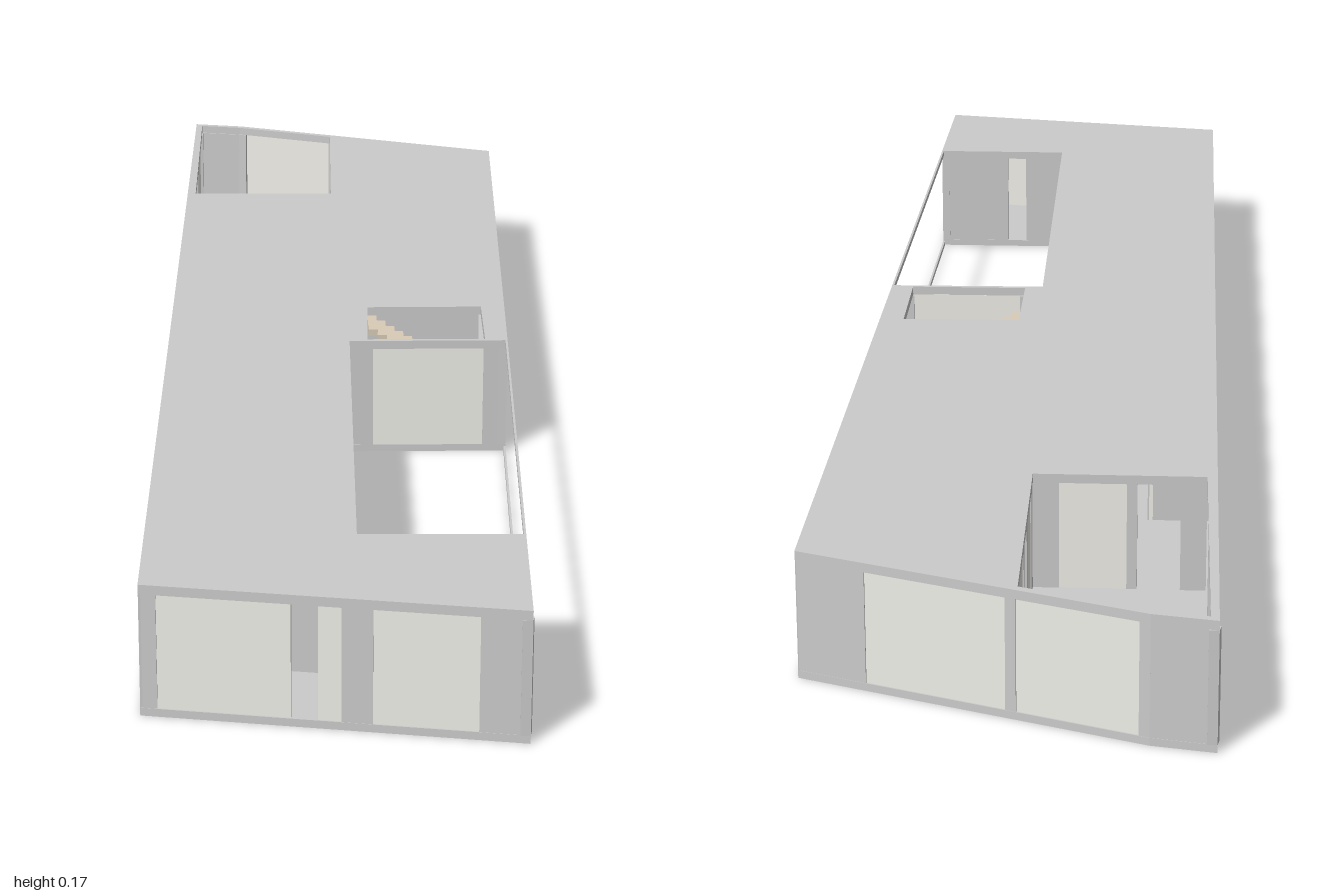
import * as THREE from 'three';

const H = 0.167, FLOOR = 0.01, CEIL = 0.155;
const grey = new THREE.MeshStandardMaterial({ color: 0xcccccc });
const pale = new THREE.MeshStandardMaterial({ color: 0xf0efe8 });
const tan = new THREE.MeshStandardMaterial({ color: 0xd9ccb8 });

// Plan points are [x, z]; the outline runs clockwise as seen from above
const outline = [[-0.4, -1], [-0.32, -0.998], [0.128, -0.91], [0.268, 0.07], [0.048, 0.11],
  [0.167, 0.808], [0.368, 0.775], [0.4, 1], [-0.06, 1]];
const patio = [[-0.388, -0.99], [-0.32, -0.988], [-0.155, -0.955], [-0.097, -0.612], [-0.315, -0.577]];
const stairwell = [[0.05, -0.043], [0.213, -0.073], [0.236, 0.07], [0.072, 0.098]];

function slab(name, points, holes, top, thickness) {
  const shape = new THREE.Shape(points.map(p => new THREE.Vector2(...p)));
  shape.holes = holes.map(h => new THREE.Path(h.map(p => new THREE.Vector2(...p))));
  const geo = new THREE.ExtrudeGeometry(shape, { depth: thickness, bevelEnabled: false });
  geo.rotateX(Math.PI / 2);
  const mesh = new THREE.Mesh(geo, grey);
  mesh.position.y = top;
  mesh.name = name;
  return mesh;
}

// Box given by its lower and upper corners
function box(name, a, b, material = grey) {
  const mesh = new THREE.Mesh(new THREE.BoxGeometry(b[0] - a[0], b[1] - a[1], b[2] - a[2]), material);
  mesh.position.set((a[0] + b[0]) / 2, (a[1] + b[1]) / 2, (a[2] + b[2]) / 2);
  mesh.name = name;
  return mesh;
}

// Group whose x runs along the edge p to q and whose z points into the building
function edgeFrame(name, p, q) {
  const g = new THREE.Group();
  g.name = name;
  g.position.set(p[0], 0, p[1]);
  g.rotation.y = -Math.atan2(q[1] - p[1], q[0] - p[0]);
  return g;
}

// Wall from bays [kind, end fraction]: s = solid, p = panel, g = open gap
function wall(name, p, q, bays) {
  const g = edgeFrame(name, p, q);
  const length = Math.hypot(q[0] - p[0], q[1] - p[1]);
  let from = 0;
  for (const [kind, to] of bays) {
    const x0 = from * length, x1 = to * length;
    if (kind === 's') g.add(box('wallPier', [x0, FLOOR, 0.0005], [x1, CEIL, 0.012]));
    if (kind === 'p') g.add(box('windowPanel', [x0, FLOOR, 0.002], [x1, CEIL, 0.007], pale));
    from = to;
  }
  return g;
}

// Two straight flights joined by a half landing
function stairs() {
  const g = edgeFrame('stairs', stairwell[0], stairwell[1]);
  const n = 9, run = 0.118 / n, rise = (CEIL - FLOOR) / (2 * n);
  for (let i = 0; i < n; i++) {
    const y1 = FLOOR + (i + 1) * rise, y2 = FLOOR + (2 * n - i) * rise;
    const x = i * run;
    g.add(box('lowerStep', [x, y1 - 0.009, 0.075], [x + run, y1, 0.139], tan));
    g.add(box('upperStep', [x, y2 - 0.009, 0.002], [x + run, y2, 0.066], tan));
  }
  const mid = FLOOR + n * rise;
  g.add(box('landing', [0.118, mid - 0.009, 0.002], [0.163, mid, 0.139], tan));
  g.add(box('stairSpine', [0.004, FLOOR, 0.068], [0.118, CEIL - 0.02, 0.073]));
  g.add(box('stairBackWall', [0, FLOOR, -0.012], [0.163, CEIL, -0.001]));
  return g;
}

export function createModel() {
  const model = new THREE.Group();
  model.name = 'buildingStorey';
  model.add(slab('floorSlab', outline, [], FLOOR, FLOOR));
  model.add(slab('roofSlab', outline, [patio, stairwell], H, H - CEIL));

  // Outer walls, one bay list per outline edge
  const bays = [
    ['backCornerWall', [['s', 1]]],
    ['backWall', [['s', 0.03], ['p', 0.37], ['s', 0.4], ['p', 0.8], ['s', 1]]],
    ['rightWall', [['s', 0.1], ['p', 0.28], ['s', 0.305], ['p', 0.51], ['g', 0.525], ['p', 0.675],
      ['g', 0.69], ['p', 0.84], ['g', 0.855], ['s', 1]].map((b, i) => b)],
    ['courtBackWall', [['s', 0.15], ['p', 0.85], ['s', 1]]],
    ['courtSideWall', [['p', 0.255], ['s', 0.53], ['p', 0.75], ['s', 1]]],
    ['courtFrontWall', [['s', 0.3], ['g', 0.45], ['s', 1]]],
    ['frontRightWall', [['s', 0.1], ['p', 0.9], ['s', 1]]],
    ['frontWall', [['s', 0.13], ['p', 0.4], ['s', 0.48], ['p', 0.54], ['g', 0.61], ['p', 0.955], ['s', 1]]],
    ['leftWall', [['s', 0.03], ['p', 0.14], ['s', 0.15], ['p', 0.25], ['s', 0.33], ['p', 0.43], ['s', 0.49],
      ['g', 0.5], ['p', 0.59], ['g', 0.6], ['g', 0.675], ['p', 0.755], ['g', 0.765], ['p', 0.865],
      ['s', 0.875], ['p', 0.985], ['s', 1]]],
  ];
  bays.forEach(([name, list], i) =>
    model.add(wall(name, outline[i], outline[(i + 1) % outline.length], list)));

  // Walls round the open patio
  model.add(wall('patioFrontWall', patio[4], patio[3],
    [['s', 0.15], ['g', 0.4], ['s', 0.46], ['p', 0.85], ['s', 1]]));
  model.add(wall('patioSideWall', patio[3], patio[2],
    [['s', 0.08], ['p', 0.35], ['s', 0.4], ['g', 0.55], ['s', 0.6], ['p', 0.92], ['s', 1]]));

  // Partitions behind the entrances in the left and front walls
  model.add(wall('entrancePartition', [-0.285, -0.35], [-0.2, -0.365], [['s', 1]]));
  model.add(wall('entrancePartition', [-0.25, -0.17], [-0.17, -0.184], [['s', 1]]));
  model.add(wall('entranceInnerWall', [-0.2, -0.365], [-0.17, -0.184], [['p', 0.45], ['g', 0.6], ['s', 1]]));
  model.add(wall('lobbyWall', [0.09, 0.86], [0.2, 0.86], [['s', 1]]));

  // Thin frame closing the open side of the court
  const [a, b] = [outline[3], outline[6]];
  const frame = edgeFrame('courtFrame', a, b);
  const span = Math.hypot(b[0] - a[0], b[1] - a[1]);
  frame.add(box('topRail', [0, 0.159, 0], [span, H, 0.003]));
  frame.add(box('bottomRail', [0, 0, 0], [span, 0.007, 0.003]));
  model.add(frame);

  model.add(stairs());
  return model;
}
